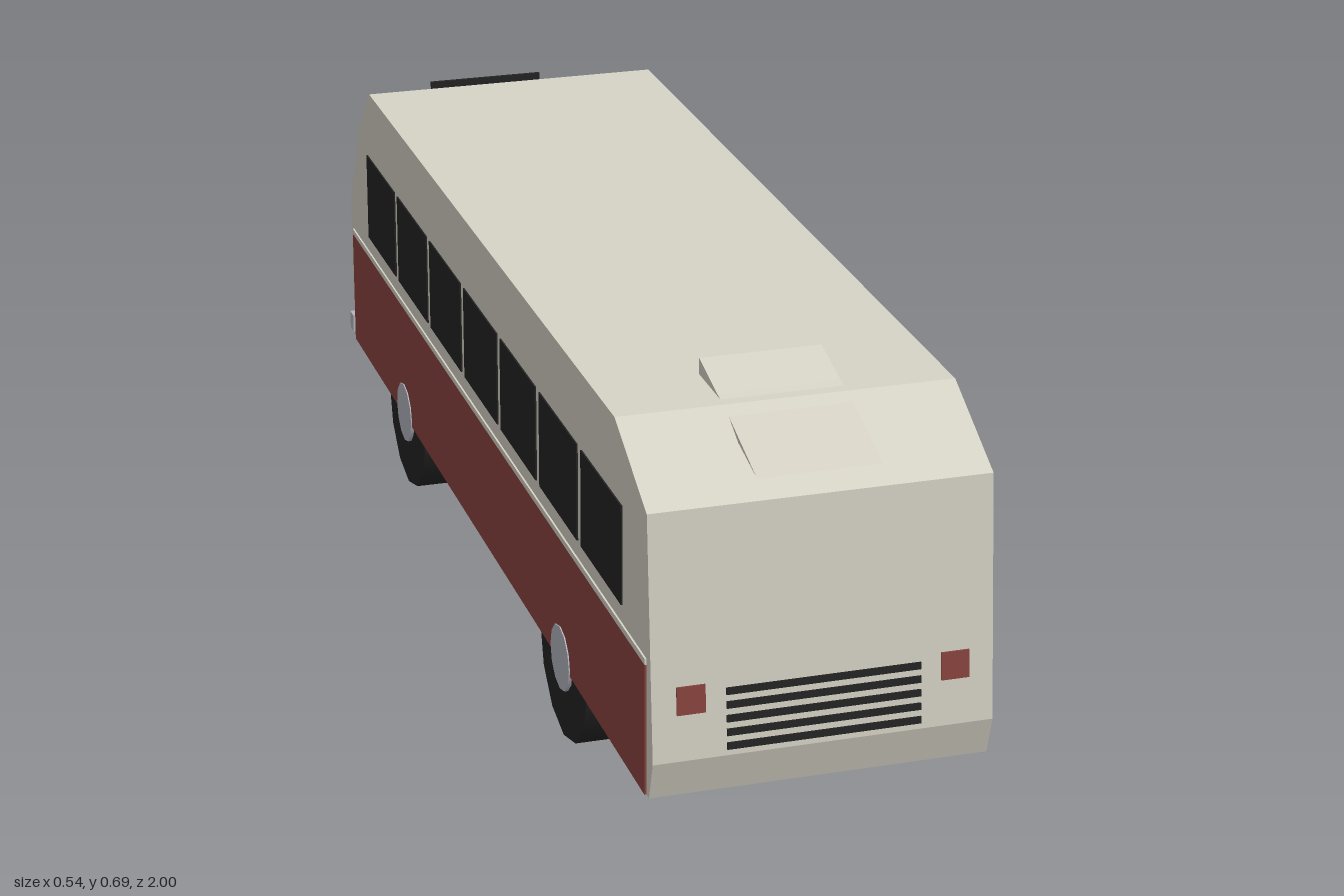
import * as THREE from 'three';

const paint = (name, color) => {
  const m = new THREE.MeshStandardMaterial({ color });
  m.name = name;
  return m;
};

export function createModel() {
  const bus = new THREE.Group();
  bus.name = 'bus';
  const cream = paint('cream', 0xd6d3c6);
  const red = paint('brick red', 0x8a453f);
  const black = paint('black', 0x242424);
  const silver = paint('silver', 0xb4b6c0);
  const CX = -0.002; // body centreline

  const add = (name, geo, mat, x = 0, y = 0, z = 0) => {
    const mesh = new THREE.Mesh(geo, mat);
    mesh.name = name;
    mesh.position.set(x, y, z);
    bus.add(mesh);
    return mesh;
  };
  const box = (name, mat, w, h, d, x, y, z) =>
    add(name, new THREE.BoxGeometry(w, h, d), mat, x, y, z);

  // Side profile given as [z, y] points, extruded across x
  const profile = (name, mat, points, width, x = CX) => {
    const shape = new THREE.Shape(points.map(([z, y]) => new THREE.Vector2(z, y)));
    const geo = new THREE.ExtrudeGeometry(shape, { depth: width, bevelEnabled: false });
    geo.rotateY(-Math.PI / 2).translate(width / 2, 0, 0);
    return add(name, geo, mat, x);
  };

  // Body shell
  profile('body', cream, [
    [-0.955, 0.128], [0.978, 0.128], [0.997, 0.192], [0.965, 0.579], [0.8, 0.664],
    [-0.795, 0.664], [-0.885, 0.575], [-0.975, 0.4], [-0.975, 0.192],
  ], 0.53);

  // Side panels, belt trims and windows
  for (const side of [-1, 1]) {
    const x = CX + side * 0.265;
    box('sidePanel', red, 0.006, 0.212, 1.92, x, 0.234, 0.005);
    box('beltTrim', cream, 0.006, 0.01, 1.92, x, 0.345, 0.005);
    for (let i = 0; i < 7; i++) {
      box('sideWindow', black, 0.005, 0.16, 0.218, x, 0.46, 0.732 - i * 0.2405);
    }
  }

  // Two doors on one side only
  for (const z of [0.72, -0.675]) {
    box('door', black, 0.008, 0.4, 0.176, 0.266, 0.35, z);
  }

  // Windscreen panes on the sloping face
  for (const side of [-1, 1]) {
    const pane = box('windscreenPane', black, 0.236, 0.186, 0.006, CX + side * 0.124, 0.4875, -0.931);
    pane.rotation.x = Math.atan2(0.09, 0.175);
  }

  // Triangular fin and sign board ahead of the windscreen
  profile('windscreenFin', cream, [[-0.885, 0.572], [-0.978, 0.572], [-0.974, 0.4]], 0.006);
  box('signBoard', black, 0.21, 0.044, 0.006, CX, 0.595, -0.979);

  // Lamp end: red panel, headlamps and bumper
  box('nosePanel', red, 0.52, 0.148, 0.006, CX, 0.266, -0.976);
  for (const side of [-1, 1]) {
    const lamp = new THREE.CylinderGeometry(0.023, 0.023, 0.008, 12).rotateX(Math.PI / 2);
    add('headlamp', lamp, silver, CX + side * 0.18, 0.257, -0.979);
  }
  box('bumper', silver, 0.535, 0.033, 0.025, CX, 0.151, -0.9875);

  // Grille end: slats and lamps, tilted with the panel
  const tilt = -Math.atan2(0.032, 0.387);
  const panelZ = (y) => 0.997 - 0.0827 * (y - 0.192);
  for (let i = 0; i < 5; i++) {
    const y = 0.207 + i * 0.0215;
    box('grilleSlat', black, 0.302, 0.011, 0.006, CX, y, panelZ(y)).rotation.x = tilt;
  }
  for (const side of [-1, 1]) {
    box('tailLamp', red, 0.044, 0.044, 0.006, CX + side * 0.205, 0.287, panelZ(0.287)).rotation.x = tilt;
  }

  // Roof scoop
  profile('roofScoop', cream, [
    [0.675, 0.65], [0.8, 0.645], [0.955, 0.61], [0.8, 0.66], [0.765, 0.667], [0.675, 0.69],
  ], 0.193);

  // Wheels: wide outer tyre, smaller inner drum, hubcap
  const disc = (name, mat, radius, width, x, z, sides = 12) => {
    const geo = new THREE.CylinderGeometry(radius, radius, width, sides).rotateZ(Math.PI / 2);
    add(name, geo, mat, x, 0.137, z);
  };
  for (const z of [0.505, -0.55]) {
    for (const side of [-1, 1]) {
      disc('tyre', black, 0.137, 0.062, side * 0.235, z);
      disc('innerDrum', black, 0.107, 0.044, side * 0.184, z);
      disc('hubcap', silver, 0.054, 0.01, side * 0.267, z);
    }
  }

  return bus;
}
